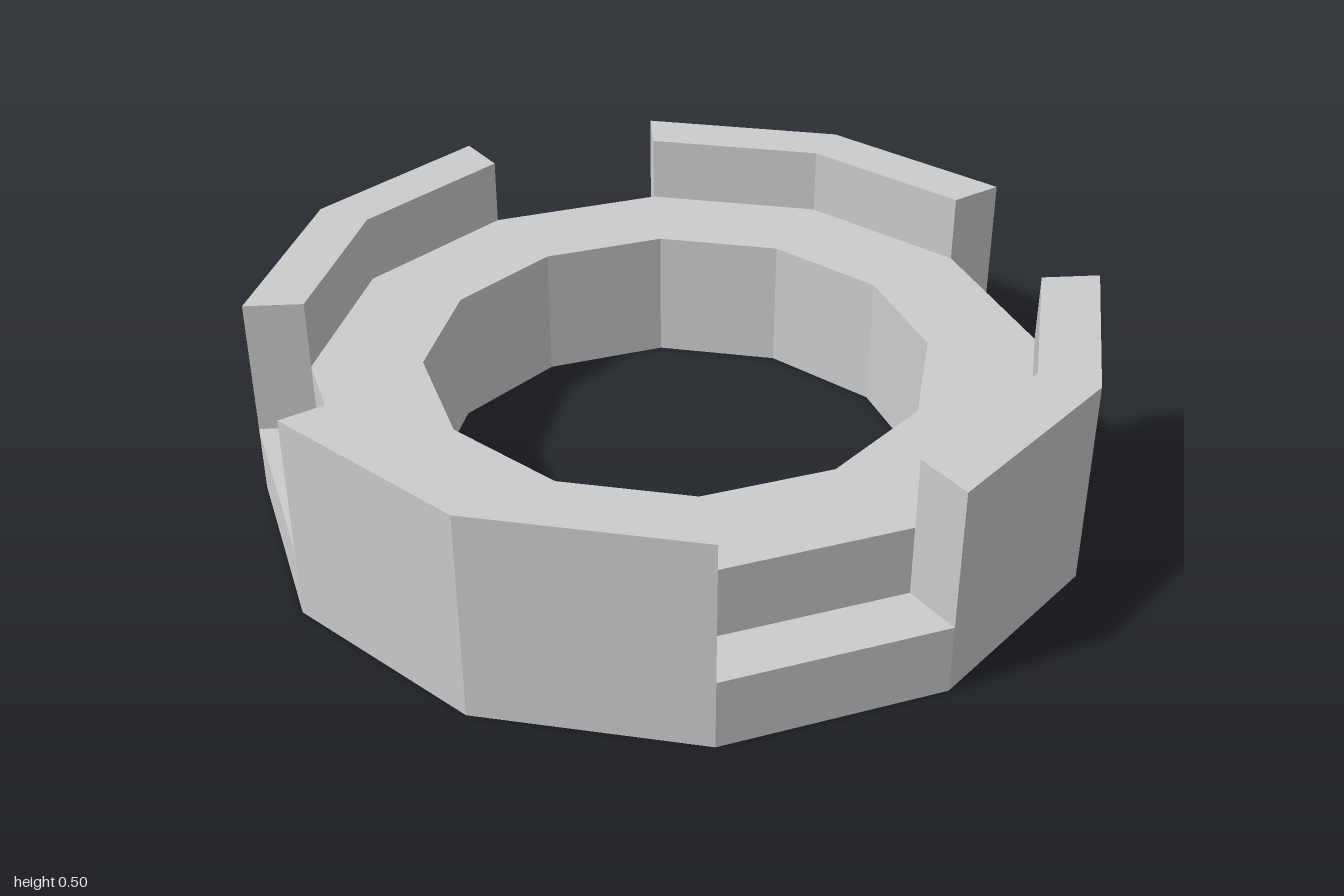
import * as THREE from 'three';

const INNER = 0.6, LEDGE = 0.86, OUTER = 1;
const LOW = 1 / 6, MID = 1 / 3, TOP = 0.5;
const STEP = Math.PI / 6; // twelve-sided ring

export function createModel() {
  const model = new THREE.Group();
  const material = new THREE.MeshStandardMaterial({ color: 0xcccccc, flatShading: true });

  const add = (parent, name, geometry) => {
    const mesh = new THREE.Mesh(geometry, material);
    mesh.name = name;
    parent.add(mesh);
    return mesh;
  };

  // Closed ring section whose outer rim rises (or drops) to rimHeight
  const sector = (rimHeight, start, sides) => {
    const profile = [
      [INNER, 0], [OUTER, 0], [OUTER, rimHeight], [LEDGE, rimHeight],
      [LEDGE, MID], [INNER, MID], [INNER, 0],
    ].map(([r, y]) => new THREE.Vector2(r, y));
    return new THREE.LatheGeometry(profile, sides, start, sides * STEP);
  };

  // Flat end of a raised rim; side -1 faces the start, +1 the end of the sweep
  const rimEnd = (phi, side) => {
    const geometry = new THREE.PlaneGeometry(OUTER - LEDGE, TOP - LOW);
    geometry.translate(-side * (OUTER + LEDGE) / 2, (TOP + LOW) / 2, 0);
    geometry.rotateY(phi - Math.PI / 2 + (side > 0 ? Math.PI : 0));
    return geometry;
  };

  // Four quarters: a two-sided raised rim followed by a one-sided notch
  for (let i = 0; i < 4; i++) {
    const quarter = new THREE.Group();
    quarter.name = 'ringQuarter';
    quarter.rotation.y = i * Math.PI / 2;
    add(quarter, 'raisedRim', sector(TOP, -STEP, 2));
    add(quarter, 'notch', sector(LOW, STEP, 1));
    add(quarter, 'rimStartFace', rimEnd(-STEP, -1));
    add(quarter, 'rimEndFace', rimEnd(STEP, 1));
    model.add(quarter);
  }
  return model;
}
